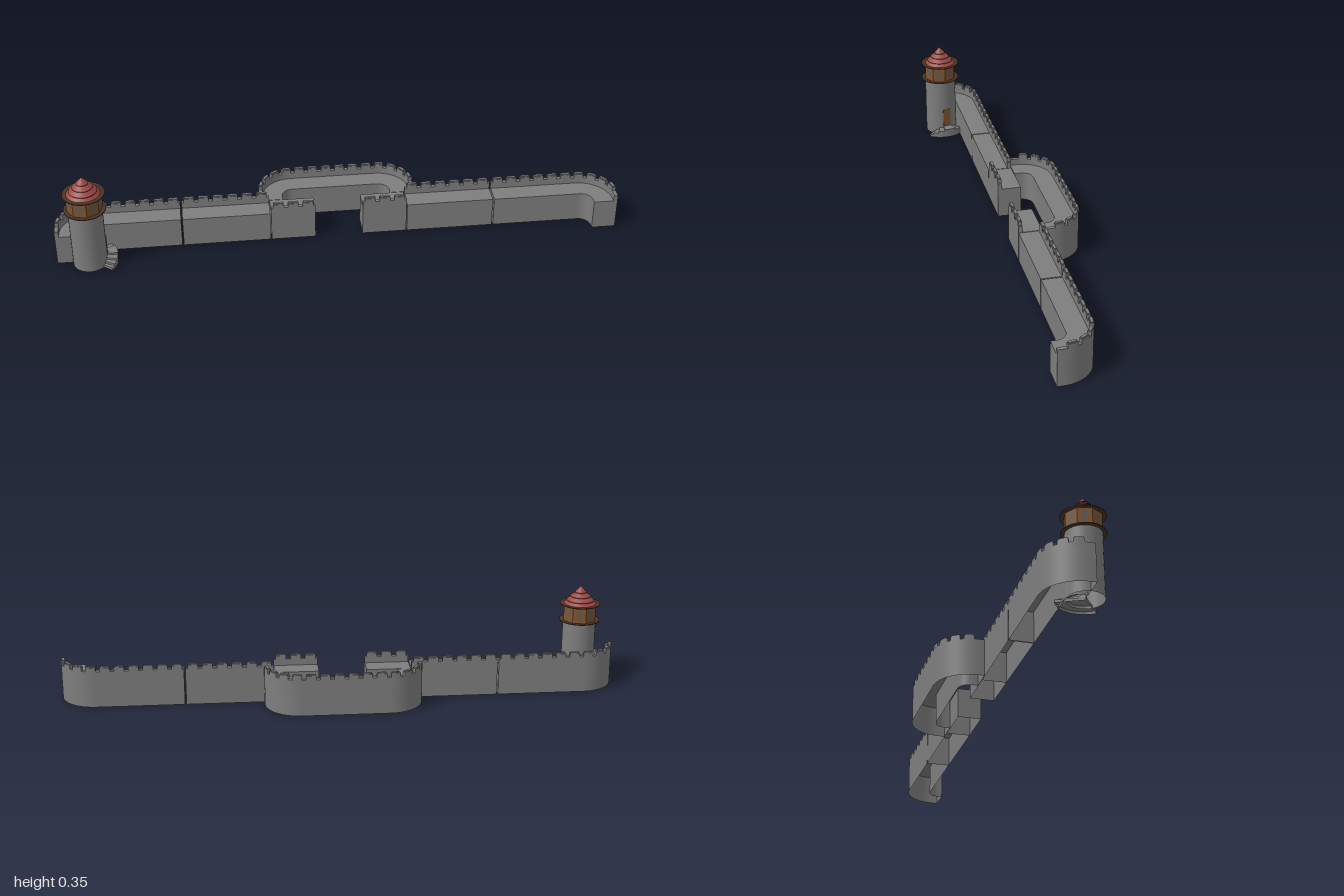
import * as THREE from 'three';
import { mergeGeometries, toCreasedNormals } from 'three/addons/utils/BufferGeometryUtils.js';

const stone = new THREE.MeshStandardMaterial({ color: 0x7e7e7e, side: THREE.DoubleSide });
const pane = new THREE.MeshStandardMaterial({ color: 0x5c5c5c });
const wood = new THREE.MeshStandardMaterial({ color: 0x80552f });
const rim = new THREE.MeshStandardMaterial({ color: 0x4a3424 });
const tile = new THREE.MeshStandardMaterial({ color: 0x9c4a45 });

const DEPTH = 0.085, WALK = 0.11, PARAPET = 0.133, TOP = 0.151;

function add(parent, name, geometry, material) {
  const mesh = new THREE.Mesh(geometry, material);
  mesh.name = name;
  parent.add(mesh);
  return mesh;
}

// Upright prism, open underneath, from an outline drawn in x and z
function prism(shape, y0, y1) {
  const solid = new THREE.ExtrudeGeometry(shape, { depth: y1 - y0, bevelEnabled: false, curveSegments: 16 });
  solid.rotateX(Math.PI / 2);
  solid.translate(0, y1, 0);
  const g = toCreasedNormals(solid, 0.5), normal = g.attributes.normal, faces = [];
  for (let i = 0; i < normal.count; i += 3) {
    if (normal.getY(i) > -0.9) faces.push(i, i + 1, i + 2);
  }
  g.setIndex(faces);
  g.clearGroups();
  return g.toNonIndexed();
}

// Strip along the outer edge of a wall, from length s0 to s1, between two inward offsets
function strip(path, s0, s1, in0, in1, y0, y1) {
  const total = path.getLength();
  const n = Math.max(2, Math.ceil((s1 - s0) / 0.012));
  const outer = [], inner = [];
  for (let i = 0; i <= n; i++) {
    const u = Math.min(1, (s0 + ((s1 - s0) * i) / n) / total);
    const p = path.getPoint(u), t = path.getTangent(u);
    const side = new THREE.Vector2(t.y, -t.x);
    outer.push(p.clone().addScaledVector(side, in0));
    inner.unshift(p.clone().addScaledVector(side, in1));
  }
  return prism(new THREE.Shape([...outer, ...inner]), y0, y1);
}

// Wall body, parapet on the outer edge and evenly spaced merlons
function wall(name, path, startGap, endGap) {
  const group = new THREE.Group();
  group.name = name;
  const length = path.getLength();
  add(group, 'wallBody', strip(path, 0, length, 0, DEPTH, 0, WALK), stone);
  add(group, 'parapet', strip(path, 0, length, 0, 0.014, WALK, PARAPET), stone);
  const run = length - startGap - endGap, count = Math.round(run / 0.05), step = run / count;
  const merlons = [];
  for (let i = 0; i < count; i++) {
    const a = startGap + step * (i + 0.14), b = a + step * 0.72;
    merlons.push(strip(path, a, b, 0, 0.014, PARAPET, TOP - 0.004));
    merlons.push(strip(path, a + 0.003, b - 0.003, 0.002, 0.012, TOP - 0.004, TOP));
  }
  add(group, 'merlons', mergeGeometries(merlons), stone);
  return group;
}

const line = (x0, z0, x1, z1) => new THREE.Path().moveTo(x0, z0).lineTo(x1, z1);

// Gate end, straight run and curved corner of one half
function wallHalf(name) {
  const half = new THREE.Group();
  half.name = name;
  const corner = new THREE.Path().moveTo(1, 0.107).lineTo(1, 0.088)
    .absarc(0.875, 0.088, 0.125, 0, -Math.PI / 2, true).lineTo(0.562, -0.037);
  half.add(wall('cornerWall', corner, 0.026, 0));
  half.add(wall('straightWall', line(0.557, -0.037, 0.246, -0.037), 0, 0));
  half.add(wall('gateEndWall', line(0.085, 0.048, 0.243, 0.048), 0, 0));
  return half;
}

function tower() {
  const group = new THREE.Group();
  group.name = 'tower';
  group.position.set(-0.885, 0, 0.111);
  group.rotation.y = 0.15;
  add(group, 'towerShaft',
    new THREE.CylinderGeometry(0.06, 0.06, 0.226, 32, 1, true).translate(0, 0.113, 0), stone);

  // Room with a lozenge window on every side
  add(group, 'towerRoom',
    new THREE.CylinderGeometry(0.062, 0.062, 0.062, 8).toNonIndexed().translate(0, 0.257, 0), wood)
    .geometry.computeVertexNormals();
  const panes = [];
  for (let i = 0; i < 8; i++) {
    panes.push(new THREE.CircleGeometry(1, 4).scale(0.009, 0.024, 1)
      .translate(0, 0.258, 0.0582).rotateY(((i + 0.5) * Math.PI) / 4));
  }
  add(group, 'windows', mergeGeometries(panes), pane);
  for (const [name, y] of [['floorRim', 0.227], ['eavesRim', 0.289]]) {
    add(group, name, new THREE.CylinderGeometry(0.073, 0.073, 0.003, 32).translate(0, y, 0), rim);
  }

  // Roof in four overlapping tiers, each with a dark lower edge
  const tiers = [[0.06, 0.289, 0.043, 0.305], [0.049, 0.303, 0.029, 0.32],
    [0.036, 0.318, 0.015, 0.335], [0.021, 0.333, 0, 0.355]];
  const cones = tiers.map(([r0, y0, r1, y1]) =>
    new THREE.CylinderGeometry(r1, r0, y1 - y0, 32).translate(0, (y0 + y1) / 2, 0));
  add(group, 'roof', mergeGeometries(cones), tile);
  const edges = tiers.slice(1).map(([r, y]) =>
    new THREE.CylinderGeometry(r, r, 0.002, 32).translate(0, y - 0.001, 0));
  add(group, 'roofEdges', mergeGeometries(edges), rim);

  // Door with a fan of steps below it
  const entry = new THREE.Group();
  entry.name = 'entry';
  entry.rotation.y = 0.08;
  group.add(entry);
  add(entry, 'door', new THREE.BoxGeometry(0.008, 0.072, 0.03).translate(0.0567, 0.069, 0), wood);
  const steps = [[0.9, 0, 0.01], [0.74, 0.01, 0.018], [0.52, 0.018, 0.026], [0.25, 0.026, 0.033]]
    .map(([a, y0, y1]) =>
      prism(new THREE.Shape().moveTo(0, 0).absarc(0, 0, 0.097, -a, a, false).lineTo(0, 0), y0, y1));
  add(entry, 'steps', mergeGeometries(steps), stone);
  return group;
}

export function createModel() {
  const model = new THREE.Group();
  model.name = 'fortressWall';
  const left = wallHalf('leftWalls'), right = wallHalf('rightWalls');
  right.scale.x = -1;
  model.add(left, right);

  // Rear court wall behind the gate opening
  const court = new THREE.Path().moveTo(0.28, -0.039).lineTo(0.28, -0.06)
    .absarc(0.155, -0.06, 0.125, 0, -Math.PI / 2, true).lineTo(-0.155, -0.185)
    .absarc(-0.155, -0.06, 0.125, -Math.PI / 2, -Math.PI, true).lineTo(-0.28, -0.039);
  model.add(wall('courtWall', court, 0.027, 0.027));
  model.add(tower());
  return model;
}
